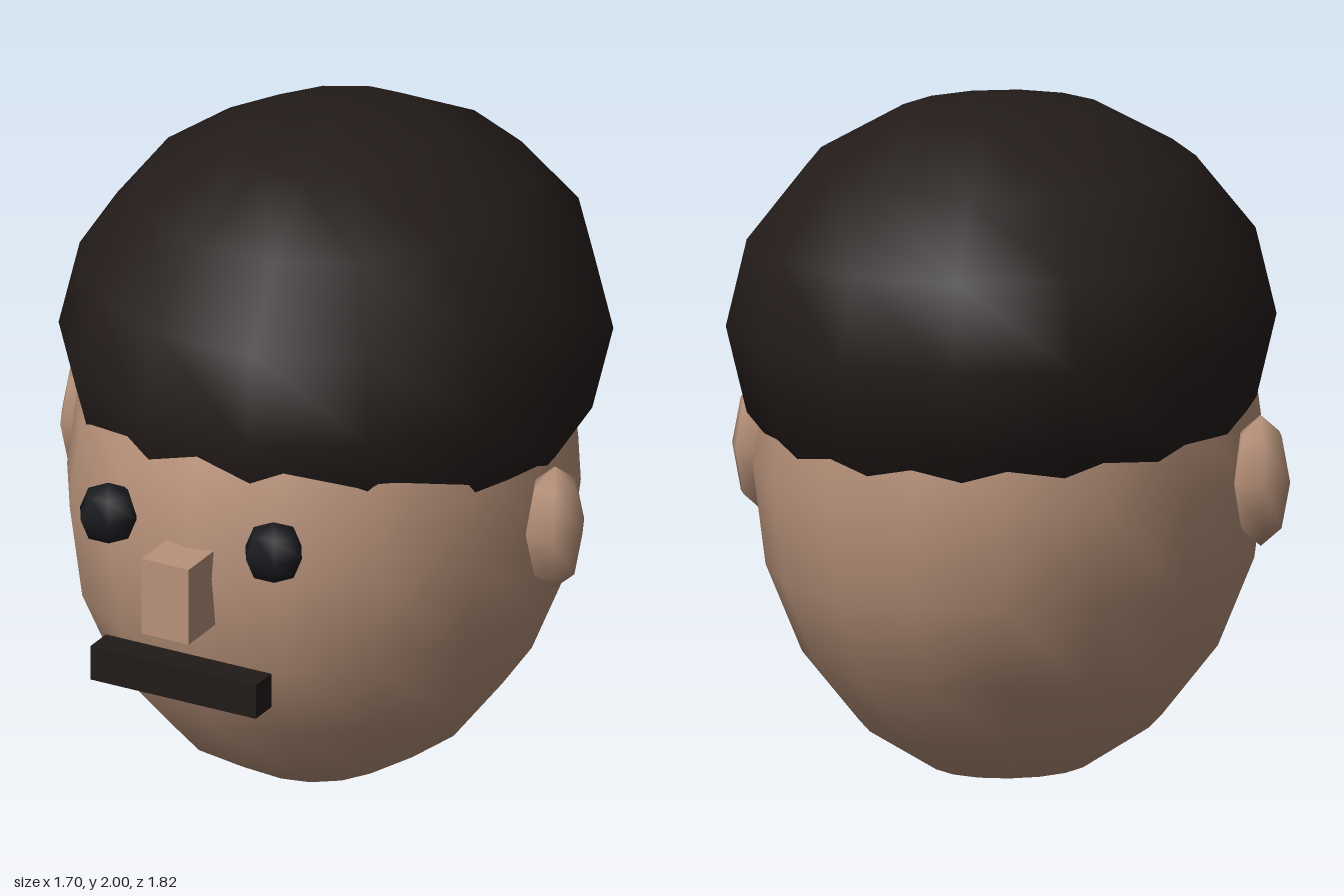
import * as THREE from 'three';

const skin = new THREE.MeshStandardMaterial({ color: 0xb8927a });
const hairDark = new THREE.MeshStandardMaterial({ color: 0x231c1a });
const eyeDark = new THREE.MeshStandardMaterial({ color: 0x1a1b1f });
const mouthDark = new THREE.MeshStandardMaterial({ color: 0x211b19 });

export function createModel() {
  const group = new THREE.Group();

  const add = (name, geometry, material, x, y, z) => {
    const mesh = new THREE.Mesh(geometry, material);
    mesh.name = name;
    mesh.position.set(x, y, z);
    group.add(mesh);
    return mesh;
  };
  // Smooth low-poly ellipsoid with radii rx, ry, rz
  const ellipsoid = (rx, ry, rz, around, rings) =>
    new THREE.SphereGeometry(1, around, rings).scale(rx, ry, rz);

  // Head, and a hair cap that sinks into it and forms the hairline
  add('head', ellipsoid(0.72, 0.91, 0.807, 16, 10), skin, 0, 0.915, -0.01);
  add('hair', ellipsoid(0.775, 0.655, 0.851, 14, 8), hairDark, 0, 1.345, -0.08);

  // Paired ears and eyes
  for (const [side, s] of [['left', 1], ['right', -1]]) {
    add(side + 'Ear', ellipsoid(0.09, 0.19, 0.104, 6, 4), skin, s * 0.76, 0.917, 0);
    add(side + 'Eye', ellipsoid(0.092, 0.092, 0.092, 6, 4), eyeDark, s * 0.27, 1.035, 0.762);
  }

  // Block nose and bar mouth
  add('nose', new THREE.BoxGeometry(0.155, 0.235, 0.16), skin, 0, 0.88, 0.833);
  add('mouth', new THREE.BoxGeometry(0.54, 0.105, 0.09), mouthDark, 0, 0.607, 0.821);

  return group;
}
